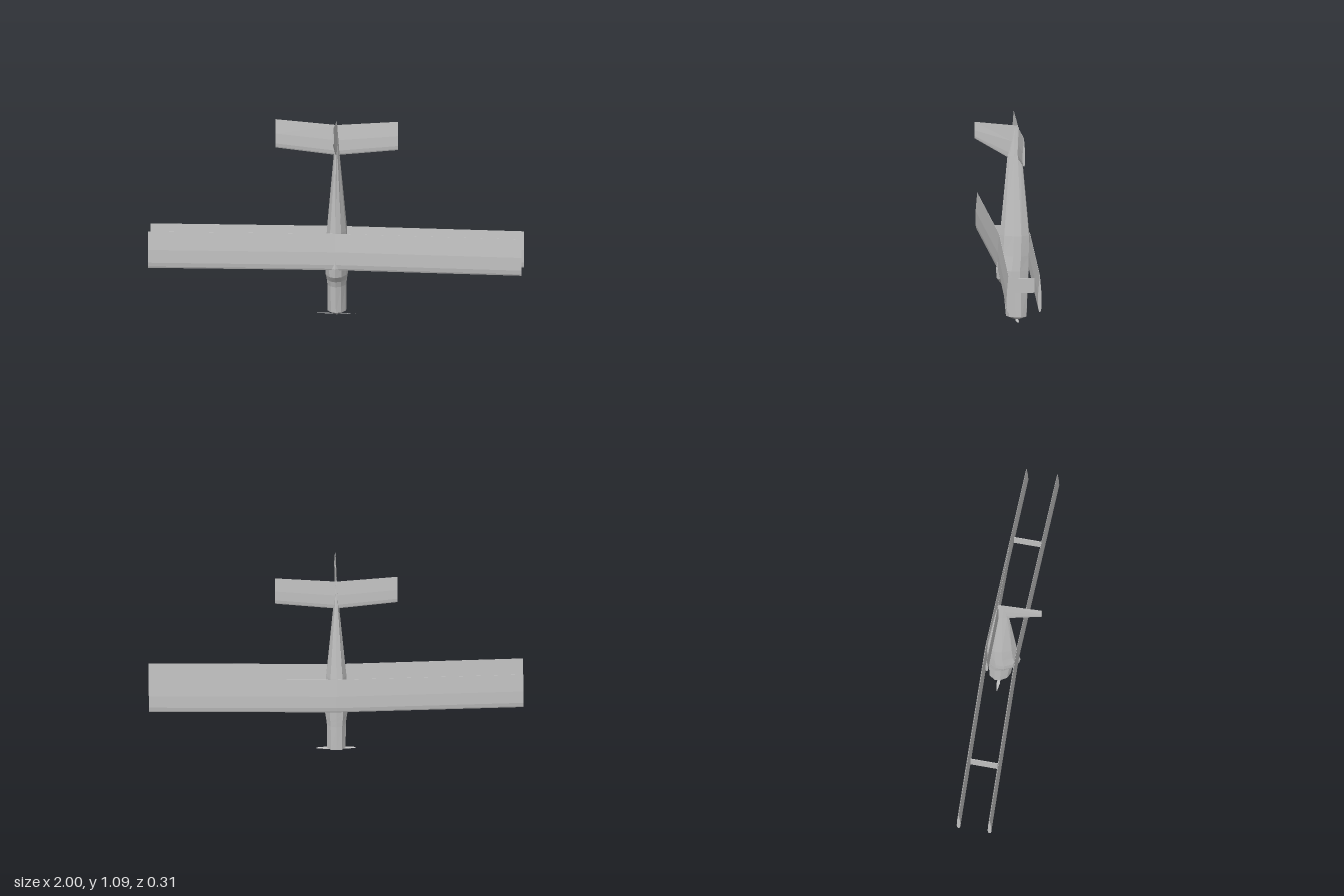
import * as THREE from 'three';

const grey = new THREE.MeshStandardMaterial({ color: 0xc0c0c0 });
grey.name = 'plain grey';

// Closed, faceted solid through a list of equal-length rings of [x, y, z] points
function loft(name, rings) {
  const n = rings[0].length, tris = [];
  for (let r = 0; r < rings.length - 1; r++) {
    for (let i = 0; i < n; i++) {
      const j = (i + 1) % n, a = rings[r], b = rings[r + 1];
      tris.push([a[i], a[j], b[j]], [a[i], b[j], b[i]]);
    }
  }
  const first = rings[0], last = rings[rings.length - 1];
  for (let i = 1; i < n - 1; i++) {
    tris.push([first[0], first[i + 1], first[i]], [last[0], last[i], last[i + 1]]);
  }
  // Turn all faces outward
  let volume = 0;
  for (const [a, b, c] of tris) {
    volume += new THREE.Vector3(...a).dot(new THREE.Vector3(...b).cross(new THREE.Vector3(...c)));
  }
  if (volume < 0) tris.forEach((t) => t.reverse());
  const geo = new THREE.BufferGeometry();
  geo.setAttribute('position', new THREE.Float32BufferAttribute(tris.flat(2), 3));
  geo.computeVertexNormals();
  const mesh = new THREE.Mesh(geo, grey);
  mesh.name = name;
  return mesh;
}

// Symmetric aerofoil: [fraction of chord from leading edge, half thickness]
const half = [[0, 0.3], [0.04, 0.65], [0.15, 1], [0.5, 0.9], [1, 0.06]];
const foil = [...half, ...half.map(([u, t]) => [u, -t]).reverse()];

// Horizontal surface with straight halves; root and tip are [yLead, yTrail, z]
function wing(name, span, thick, root, tip) {
  const ring = (x, [y0, y1, z]) => foil.map(([u, t]) => [x, y0 + (y1 - y0) * u, z + t * thick / 2]);
  return loft(name, [ring(-span, tip), ring(0, root), ring(span, tip)]);
}

// Half outline of the fuselage: [fraction of half width, fraction of height]
const outline = [[0, 1], [0.55, 0.87], [0.95, 0.55], [1, 0.3], [0.6, 0.03], [0, 0]];
const hull = [...outline, ...outline.slice(1, -1).map(([w, h]) => [-w, h]).reverse()];

function fuselageRing([y, w, top, bottom]) {
  return hull.map(([u, h]) => [u * w, y, bottom + (top - bottom) * h]);
}

export function createModel() {
  const model = new THREE.Group();
  model.name = 'biplane';

  // Fuselage stations: [y, half width, top z, bottom z]
  model.add(loft('fuselage', [
    [0.012, 0.028, -0.045, -0.095],
    [0.025, 0.05, -0.014, -0.125],
    [0.17, 0.051, 0, -0.13],
    [0.2, 0.054, 0.01, -0.132],
    [0.23, 0.059, 0.035, -0.134],
    [0.28, 0.06, 0.04, -0.137],
    [0.36, 0.058, 0.025, -0.14],
    [0.47, 0.054, 0.018, -0.139],
    [0.9, 0.014, -0.022, -0.1],
    [1.055, 0.002, -0.045, -0.083],
  ].map(fuselageRing)));

  // Main wings with slight dihedral
  model.add(wing('upperWing', 1, 0.02, [0.272, 0.472, 0.022], [0.272, 0.472, 0.056]));
  model.add(wing('lowerWing', 1, 0.02, [0.272, 0.472, -0.143], [0.272, 0.472, -0.112]));

  // Swept tailplane
  model.add(wing('tailplane', 0.328, 0.014, [0.88, 1.045, -0.083], [0.915, 1.07, -0.083]));

  // Tail fin, from root to tip
  const finRing = (z, y0, z1, y1) => foil.map(([u, t]) =>
    [t * 0.005, y0 + (y1 - y0) * u, z + (z1 - z) * u]);
  model.add(loft('tailFin', [
    finRing(-0.02, 0.895, -0.08, 1.064),
    finRing(0.155, 1.0, 0.155, 1.09),
  ]));

  // Flat struts joining the wings
  for (const side of [-1, 1]) {
    const strut = new THREE.Mesh(new THREE.BoxGeometry(0.004, 0.08, 0.172), grey);
    strut.position.set(side * 0.64, 0.335, -0.046);
    strut.name = side > 0 ? 'leftStrut' : 'rightStrut';
    model.add(strut);
  }

  // Spinner at the nose
  const spinner = new THREE.Mesh(new THREE.ConeGeometry(0.018, 0.016, 8), grey);
  spinner.rotation.x = Math.PI;
  spinner.position.set(0, 0.008, -0.07);
  spinner.name = 'spinner';
  model.add(spinner);

  // Two tapering propeller blades
  const bladeRing = (x, w) => [[-w, -0.3], [w, 0.1], [w, 0.3], [-w, -0.1]]
    .map(([z, t]) => [x, 0.009 + t * 0.006, -0.07 + z]);
  model.add(loft('propeller', [
    bladeRing(-0.104, 0.002), bladeRing(-0.06, 0.009), bladeRing(0, 0.006),
    bladeRing(0.06, 0.009), bladeRing(0.104, 0.002),
  ]));

  return model;
}
